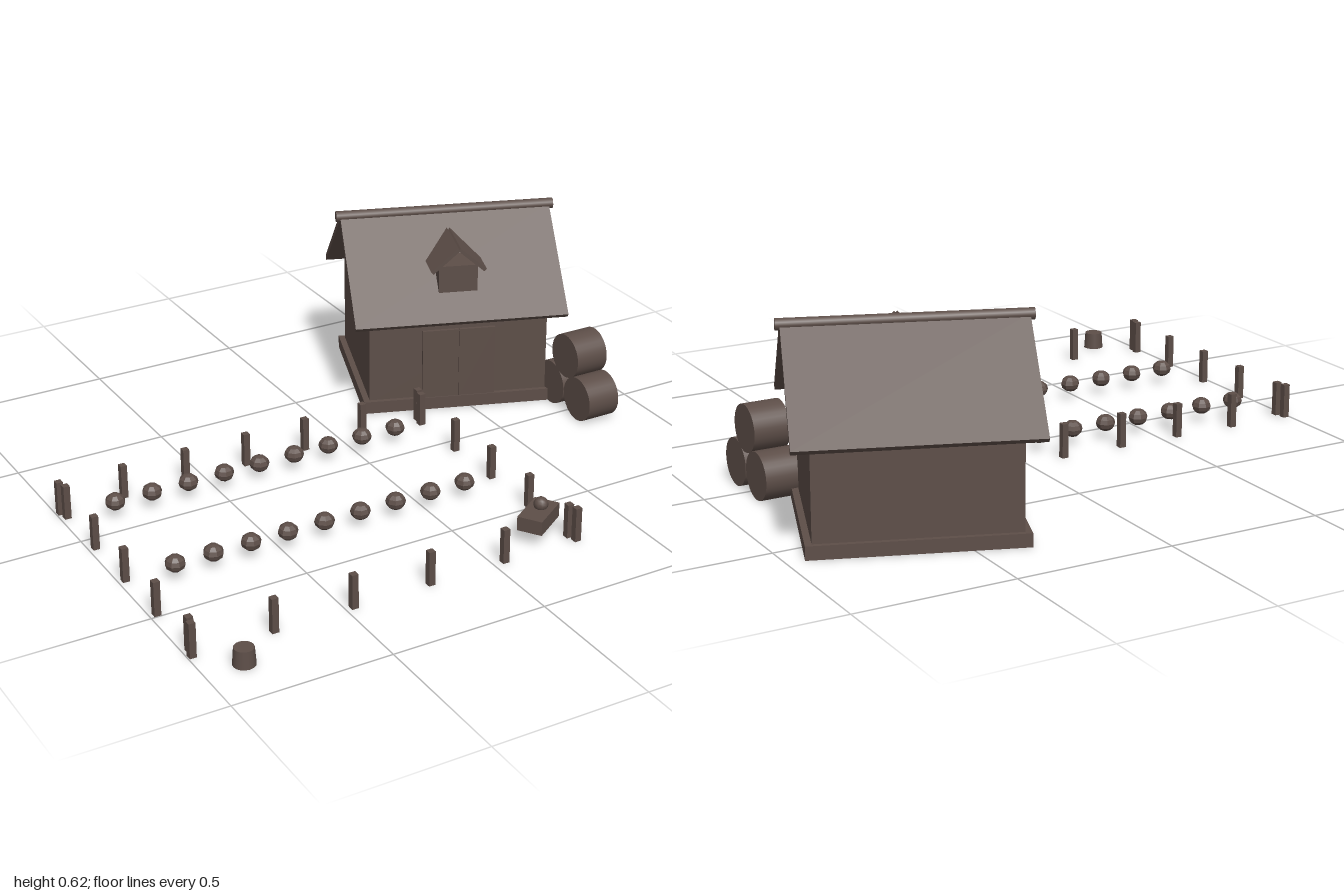
import * as THREE from 'three';

const mat = new THREE.MeshStandardMaterial({ color: 0x5d4e48 });
const flatMat = new THREE.MeshStandardMaterial({ color: 0x5d4e48, flatShading: true });
const GROUND = 0.01;

function add(parent, name, geometry, x, y, z, material = mat) {
  const mesh = new THREE.Mesh(geometry, material);
  mesh.name = name;
  mesh.position.set(x, y, z);
  parent.add(mesh);
  return mesh;
}

function addGroup(parent, name, x, z, angle) {
  const group = new THREE.Group();
  group.name = name;
  group.position.set(x, 0, z);
  group.rotation.y = angle;
  parent.add(group);
  return group;
}

const box = (w, h, d) => new THREE.BoxGeometry(w, h, d);

function buildBarn(parent) {
  const barn = addGroup(parent, 'barn', 0.5525, -0.455, -0.35);
  add(barn, 'foundation', box(0.64, 0.042, 0.54), 0, GROUND + 0.021, 0);
  add(barn, 'walls', box(0.6, 0.34, 0.51), 0, 0.21, 0);

  // Two roof slabs meeting under a round ridge beam, open at the gables
  for (const s of [1, -1]) {
    const slab = add(barn, 'roofSlab', box(0.713, 0.018, 0.415), 0, 0.475, s * 0.157);
    slab.rotation.x = s * 0.72;
  }
  const ridge = add(barn, 'ridgeBeam', new THREE.CylinderGeometry(0.018, 0.018, 0.74, 12), 0, 0.616, 0);
  ridge.rotation.z = Math.PI / 2;

  // Double door
  for (const s of [1, -1]) add(barn, 'doorLeaf', box(0.122, 0.245, 0.016), s * 0.0615, 0.172, 0.258);

  // Dormer with its own small gable roof
  const dormer = addGroup(barn, 'dormer', 0, 0, 0);
  add(dormer, 'dormerBody', box(0.13, 0.13, 0.128), 0, 0.445, 0.172);
  for (const s of [1, -1]) {
    const slab = add(dormer, 'dormerRoofSlab', box(0.118, 0.012, 0.205), s * 0.045, 0.531, 0.142);
    slab.rotation.z = -s * 0.72;
  }
}

// Three bales stacked in a pyramid
function buildBales(parent) {
  for (const [y, z] of [[0.085, 0.073], [0.085, -0.08], [0.212, -0.003]]) {
    const bale = add(parent, 'hayBale', new THREE.CylinderGeometry(0.075, 0.075, 0.115, 32), 0.807, y, z);
    bale.rotation.z = Math.PI / 2;
  }
}

// Posts around the rectangular field
function buildFence(parent) {
  const geometry = box(0.021, 0.112, 0.021);
  const post = (x, z) => add(parent, 'fencePost', geometry, x, GROUND + 0.056, z);
  for (let i = 0; i < 7; i++) post(-0.986 + i * 0.2133, -0.19);
  for (let i = 0; i < 6; i++) post(-0.986 + i * 0.256, 0.733);
  for (const x of [-0.978, 0.286]) {
    for (let i = 0; i < 5; i++) post(x, -0.156 + i * 0.2145);
  }
}

// Two rows of round crops
function buildCrops(parent) {
  const geometry = new THREE.SphereGeometry(0.032, 8, 6);
  for (const z of [-0.09, 0.335]) {
    for (let i = 0; i < 9; i++) {
      const crop = add(parent, 'crop', geometry, -0.845 + i * 0.124, 0.062, z, flatMat);
      crop.scale.y = 0.85;
      crop.rotation.y = i * 0.7;
    }
  }
}

function buildWheelbarrow(parent) {
  const barrow = addGroup(parent, 'wheelbarrow', 0.206, 0.657, 0.585);
  add(barrow, 'tray', box(0.136, 0.046, 0.08), 0, 0.079, 0);
  add(barrow, 'load', new THREE.SphereGeometry(0.023, 10, 8), 0.018, 0.113, 0);
  add(barrow, 'wheel', new THREE.TorusGeometry(0.023, 0.007, 8, 20), 0.09, 0.04, 0);
}

export function createModel() {
  const model = new THREE.Group();
  model.name = 'farm';
  buildBarn(model);
  buildBales(model);
  buildFence(model);
  buildCrops(model);
  buildWheelbarrow(model);
  add(model, 'bucket', new THREE.CylinderGeometry(0.03, 0.034, 0.055, 16), -0.877, GROUND + 0.0275, 0.837);
  return model;
}
